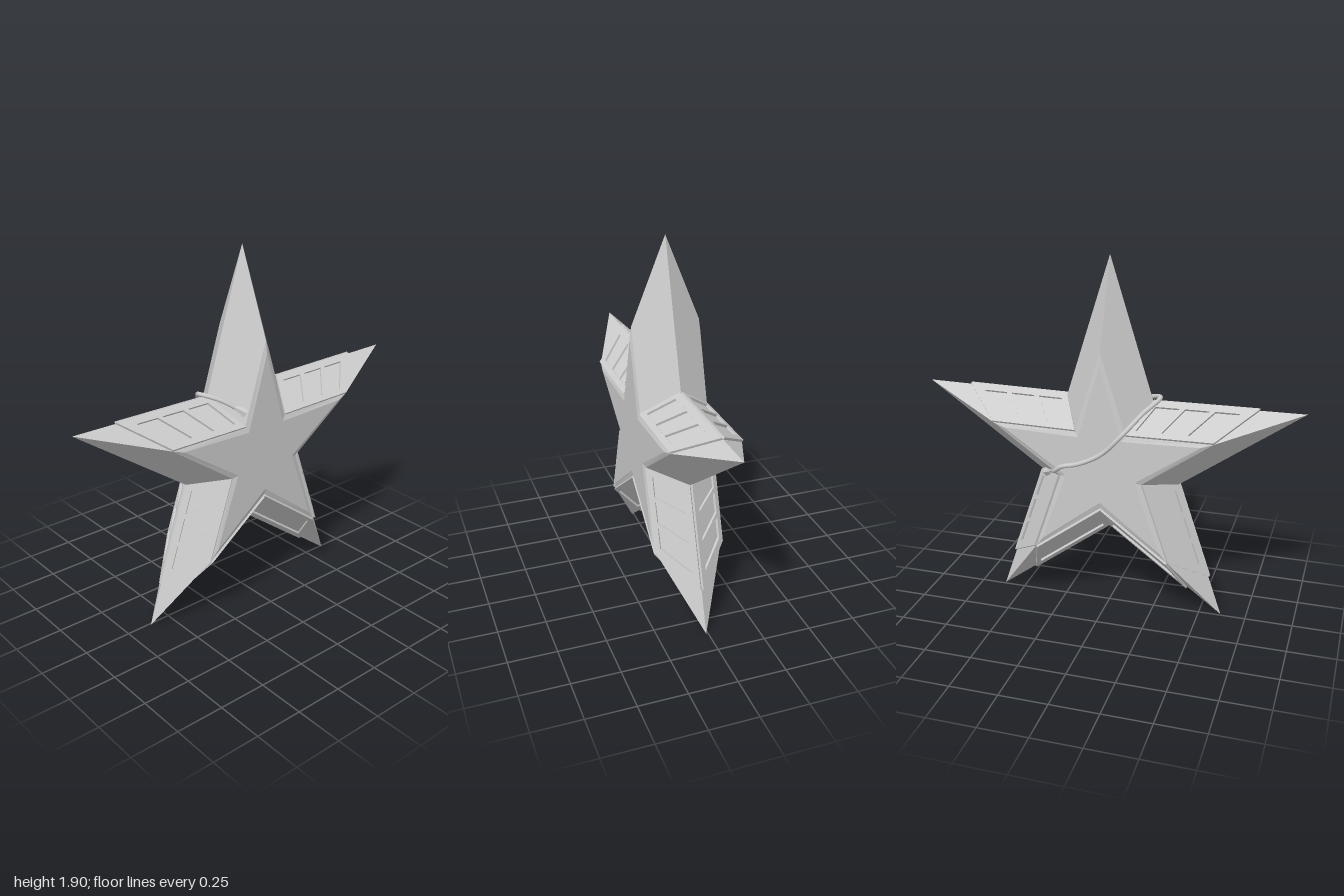
import * as THREE from 'three';

const CY = 0.85, ZM = 0.01;          // star centre height and mid plane
const TIP = 1.05, VALLEY = 0.39;     // mid-plane radii
const TOP_TIP = 0.605, TOP_VALLEY = 0.225, HALF = 0.178; // front/back outline
const mat = new THREE.MeshStandardMaterial({ color: 0xcccccc, flatShading: true, side: THREE.DoubleSide });
const smooth = new THREE.MeshStandardMaterial({ color: 0xcccccc });

const polar = (r, deg, z) => {
  const a = THREE.MathUtils.degToRad(deg);
  return new THREE.Vector3(r * Math.cos(a), CY + r * Math.sin(a), ZM + z);
};

function mesh(name, geometry, material = mat) {
  const m = new THREE.Mesh(geometry, material);
  m.name = name;
  return m;
}

// Star body lofted through five star-shaped rings, from back to front
function starBody() {
  const rings = [
    [0.54, 0.192, -0.187], [TOP_TIP, TOP_VALLEY, -HALF], [TIP, VALLEY, 0],
    [TOP_TIP, TOP_VALLEY, HALF], [0.54, 0.192, 0.187],
  ].map(([tip, valley, z]) =>
    Array.from({ length: 10 }, (_, i) => polar(i % 2 ? valley : tip, 90 + 36 * i, z)));
  const pts = [];
  const back = polar(0, 0, -0.187), front = polar(0, 0, 0.187);
  for (let i = 0; i < 10; i++) {
    const j = (i + 1) % 10;
    for (let r = 0; r < 4; r++) {
      const a = rings[r][i], b = rings[r][j], c = rings[r + 1][j], d = rings[r + 1][i];
      pts.push(a, b, c, a, c, d);
    }
    pts.push(front, rings[4][i], rings[4][j], back, rings[0][j], rings[0][i]);
  }
  const g = new THREE.BufferGeometry().setFromPoints(pts);
  g.computeVertexNormals();
  return g;
}

// Raised window frame on one sloping side of an arm
function framePanel(armDeg, valleyDeg, zSign, windows) {
  const V = polar(VALLEY, valleyDeg, 0), T = polar(TIP, armDeg, 0);
  const P = V.clone().lerp(T, 0.7);
  const v = polar(TOP_VALLEY, valleyDeg, HALF * zSign);
  const t = polar(TOP_TIP, armDeg, HALF * zSign);
  const ex = P.clone().sub(V).normalize();
  const n = ex.clone().cross(v.clone().sub(V)).normalize();
  // keep the normal pointing away from the star
  if (n.dot(V.clone().sub(polar(0, 0, 0))) < 0) n.negate();
  const ey = n.clone().cross(ex);
  const at = (u, w) => {
    const p = V.clone().lerp(P, u).lerp(v.clone().lerp(t, u), w).sub(V);
    return new THREE.Vector2(p.dot(ex), p.dot(ey));
  };
  const quad = (u0, u1, w0, w1) => [at(u0, w0), at(u1, w0), at(u1, w1), at(u0, w1)];
  const shape = new THREE.Shape(quad(0, 1, 0, 1));
  const start = 0.07, pitch = (0.94 - start) / windows, gap = windows > 1 ? 0.055 : 0;
  for (let i = 0; i < windows; i++) {
    const u = start + i * pitch;
    shape.holes.push(new THREE.Path(quad(u, u + pitch - gap, 0.17, 0.86)));
  }
  const g = new THREE.ExtrudeGeometry(shape, { depth: 0.014, bevelEnabled: false });
  g.translate(0, 0, -0.002);
  g.applyMatrix4(new THREE.Matrix4().makeBasis(ex, ey, n).setPosition(V));
  return g;
}

// Flat pointed clasp lying along the end of the cord
function clasp(from, to) {
  const dir = to.clone().sub(from).normalize();
  const m = mesh('cordClasp', new THREE.CylinderGeometry(0.026, 0.014, 0.06, 6));
  m.position.copy(to);
  m.quaternion.setFromUnitVectors(new THREE.Vector3(0, 1, 0), dir);
  return m;
}

export function createModel() {
  const group = new THREE.Group();
  group.name = 'star';
  group.add(mesh('starBody', starBody()));

  // Three windows on the outer sides, one long window between the legs
  const panels = [
    ['armPanel', 162, 126, 3], ['legOuterPanel', 234, 198, 3], ['legInnerPanel', 234, 270, 1],
  ];
  for (const [name, arm, valley, windows] of panels) {
    for (const z of [1, -1]) {
      group.add(mesh(name + 'Right', framePanel(arm, valley, z, windows)));
      group.add(mesh(name + 'Left', framePanel(180 - arm, 180 - valley, z, windows)));
    }
  }

  // Cord hooked over one valley, crossing the back to another
  const path = [
    [-0.13, 1.115, 0.15], [-0.2, 1.165, 0.09], [-0.265, 1.19, 0.01], [-0.2, 1.135, -0.1],
    [-0.12, 1.045, -0.185], [-0.01, 0.93, -0.188], [0.11, 0.865, -0.188],
    [0.2, 0.84, -0.187], [0.245, 0.805, -0.165], [0.275, 0.785, -0.125], [0.305, 0.765, -0.09],
  ].map((p) => new THREE.Vector3(...p));
  const curve = new THREE.CatmullRomCurve3(path);
  group.add(mesh('cord', new THREE.TubeGeometry(curve, 80, 0.012, 8), smooth));
  group.add(clasp(path[1], path[0]));
  group.add(clasp(path[path.length - 2], path[path.length - 1]));
  return group;
}
